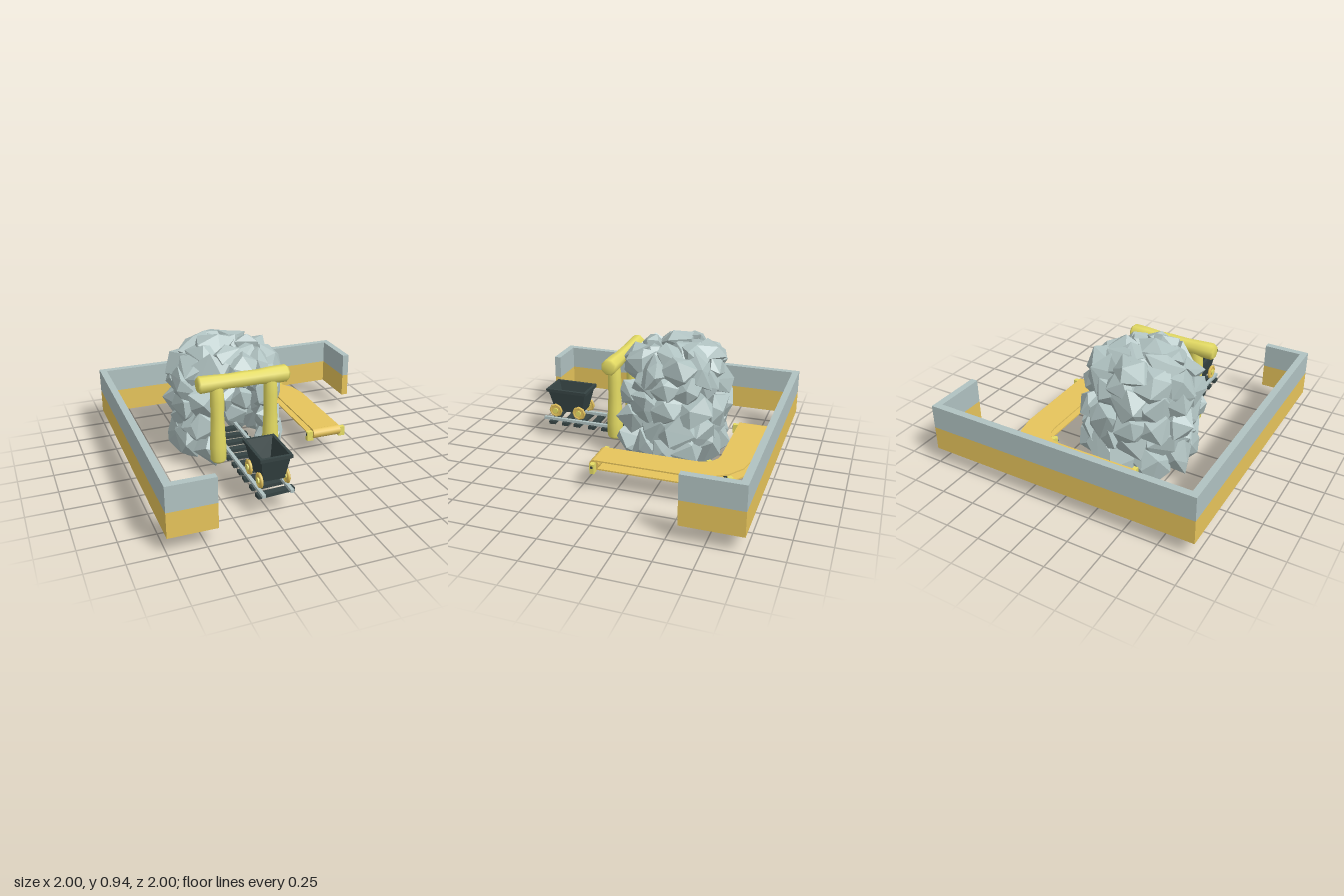
import * as THREE from 'three';
import { ConvexGeometry } from 'three/addons/geometries/ConvexGeometry.js';

const mat = (name, color) => Object.assign(new THREE.MeshStandardMaterial({ color }), { name });

export function createModel() {
  const root = new THREE.Group();
  const stone = mat('grey stone', 0xb0c2c1);
  const ochre = mat('ochre', 0xe6c45b);
  const wood = mat('yellow wood', 0xe5dc64);
  const dark = mat('dark iron', 0x354343);

  let seed = 23;
  const rnd = () => (seed = (seed * 16807) % 2147483647) / 2147483647;
  const jit = (a) => (rnd() * 2 - 1) * a;

  const add = (name, geo, material, x = 0, y = 0, z = 0, parent = root) => {
    const m = new THREE.Mesh(geo, material);
    m.name = name;
    m.position.set(x, y, z);
    parent.add(m);
    return m;
  };
  const box = (w, h, d) => new THREE.BoxGeometry(w, h, d);

  // Two-tone boundary walls, given as x0, x1, z0, z1
  const lower = [ochre, ochre, ochre, stone, ochre, ochre];
  for (const [name, x0, x1, z0, z1] of [
    ['sideWall', -1, -0.95, -0.95, 0.95],
    ['backWall', -1, 1, -1, -0.95],
    ['frontWallStub', -1, -0.675, 0.95, 1],
    ['sideWallStub', 0.95, 1, -0.95, -0.58],
  ]) {
    const x = (x0 + x1) / 2, z = (z0 + z1) / 2;
    add(name + 'Lower', box(x1 - x0, 0.175, z1 - z0), lower, x, 0.2075, z);
    add(name + 'Upper', box(x1 - x0, 0.175, z1 - z0), stone, x, 0.3825, z);
  }

  // Hollow mound of angular slabs with an open tunnel mouth at the front
  const mound = new THREE.Group();
  mound.name = 'rockMound';
  root.add(mound);
  const boulder = (x, y, z, r, { flat = 0.75, up = 0, spike = false } = {}) => {
    const pts = [];
    const start = rnd() * 6;
    for (let i = 0; i < 11; i++) {
      const h = 1 - (2 * (i + 0.5)) / 11;
      const a = start + i * 2.4 + jit(0.6);
      const w = Math.sqrt(1 - h * h), k = r * (1 + jit(0.17));
      pts.push(new THREE.Vector3(Math.cos(a) * w * k, h * k, Math.sin(a) * w * k * flat));
    }
    // pointed underside reaching the ground
    if (spike) pts.push(new THREE.Vector3(jit(0.05), rnd() * 0.03 - y, jit(0.03)));
    const m = add('boulder', new ConvexGeometry(pts), stone, x, y, z, mound);
    const out = new THREE.Vector3(x + 0.22, 0, z + 0.22).normalize();
    out.y = up + (spike ? 0 : jit(0.25));
    m.lookAt(out.add(m.position));
  };
  // rows: height, centre x, centre z, ring x, ring z, count, boulder radius, upward lean
  for (const [y, cx, cz, rx, rz, count, r, up] of [
    [0.16, -0.2, -0.23, 0.35, 0.295, 11, 0.145, 0],
    [0.3, -0.2, -0.23, 0.325, 0.29, 11, 0.135, 0],
    [0.45, -0.21, -0.23, 0.33, 0.3, 11, 0.14, 0],
    [0.6, -0.23, -0.21, 0.325, 0.28, 11, 0.14, 0],
    [0.72, -0.22, -0.2, 0.3, 0.27, 10, 0.135, 0.5],
    [0.8, -0.24, -0.2, 0.19, 0.2, 7, 0.13, 1.5],
  ]) {
    const start = rnd() * 6;
    for (let i = 0; i < count; i++) {
      const a = start + (i / count) * Math.PI * 2 + jit(0.08);
      const x = cx + Math.cos(a) * (rx + jit(0.02));
      const z = cz + Math.sin(a) * (rz + jit(0.02));
      if (z > -0.05 && Math.abs(x + 0.22) < 0.24 && y < 0.65) continue;
      boulder(x, y + jit(0.02), z, r * (1 + jit(0.12)), { up, spike: y < 0.2 });
    }
  }
  boulder(-0.33, 0.84, -0.2, 0.17, { flat: 0.5, up: 4 });
  boulder(-0.16, 0.82, -0.3, 0.15, { flat: 0.5, up: 4 });
  boulder(-0.26, 0.81, -0.42, 0.15, { flat: 0.55, up: 3 });
  for (const [x, y] of [[-0.43, 0.17], [0.02, 0.17], [-0.47, 0.35], [0.03, 0.35], [-0.46, 0.52], [0.02, 0.53]]) {
    boulder(x, y, 0.05, 0.12, { flat: 0.95, spike: y < 0.2 });
  }

  // Rough timber frame around the mouth
  const log = (len, radii, sides) => {
    const n = radii.length - 1;
    const pts = [new THREE.Vector2(0, -len / 2), new THREE.Vector2(radii[0] * 0.75, -len / 2)];
    radii.forEach((r, i) => pts.push(new THREE.Vector2(r, (i / n - 0.5) * (len - 0.036))));
    pts.push(new THREE.Vector2(radii[n] * 0.75, len / 2), new THREE.Vector2(0, len / 2));
    return new THREE.LatheGeometry(pts, sides);
  };
  for (const [x, tilt] of [[-0.415, 0], [-0.025, Math.PI / 12]]) {
    const p = add('timberPost', log(0.58, [0.057, 0.058, 0.052, 0.047, 0.05, 0.045], 12), wood, x, 0.43, 0.212);
    p.rotation.y = tilt;
  }
  const beamGeo = log(0.66, [0.061, 0.06, 0.052, 0.054, 0.051, 0.056, 0.06], 8).rotateY(Math.PI / 8);
  add('timberBeam', beamGeo.rotateZ(Math.PI / 2), wood, -0.225, 0.73, 0.212);

  // Track
  const railEnd = -0.27, railStart = 0.84;
  for (const x of [-0.318, -0.122]) {
    add('rail', box(0.024, 0.022, railStart - railEnd), stone, x, 0.17, (railStart + railEnd) / 2);
  }
  for (let i = 0; i < 10; i++) {
    const s = add('sleeper', box(0.265, 0.024, 0.052), dark, -0.22 + jit(0.006), 0.149, 0.77 - i * 0.111);
    s.rotation.y = jit(0.07);
  }

  // Mine cart: open tub from rectangular loops [half width, half depth, height]
  const tub = (rings) => {
    const pos = [];
    const corner = ([hx, hz, y], k) => [[hx, y, hz], [hx, y, -hz], [-hx, y, -hz], [-hx, y, hz]][k % 4];
    for (let i = 0; i < rings.length - 1; i++) {
      for (let k = 0; k < 4; k++) {
        const a = corner(rings[i], k), b = corner(rings[i], k + 1);
        const c = corner(rings[i + 1], k + 1), d = corner(rings[i + 1], k);
        pos.push(...a, ...b, ...c, ...a, ...c, ...d);
      }
    }
    const g = new THREE.BufferGeometry();
    g.setAttribute('position', new THREE.Float32BufferAttribute(pos, 3));
    g.computeVertexNormals();
    return g;
  };
  const cart = new THREE.Group();
  cart.name = 'mineCart';
  cart.position.set(-0.22, 0, 0.647);
  root.add(cart);
  add('cartTub', tub([
    [0, 0, 0.23], [0.075, 0.11, 0.23], [0.1, 0.15, 0.395], [0.112, 0.165, 0.395],
    [0.112, 0.165, 0.418], [0.093, 0.143, 0.418], [0.06, 0.098, 0.262], [0, 0, 0.262],
  ]), dark, 0, 0, 0, cart);
  const across = (r, len, sides) => new THREE.CylinderGeometry(r, r, len, sides).rotateZ(Math.PI / 2);
  for (const z of [-0.097, 0.097]) {
    add('axle', across(0.012, 0.2, 8), dark, 0, 0.24, z, cart);
    for (const side of [-1, 1]) {
      add('wheelDisc', across(0.048, 0.012, 8), ochre, side * 0.094, 0.24, z, cart);
      add('wheelRim', new THREE.TorusGeometry(0.045, 0.011, 6, 8).rotateY(Math.PI / 2), ochre, side * 0.094, 0.24, z, cart);
      add('wheelHub', across(0.022, 0.03, 8), wood, side * 0.096, 0.24, z, cart);
    }
  }

  // Conveyor: two curved belt layers wrapped around end rollers
  const path = new THREE.Shape();
  path.moveTo(-0.385, 0.87);
  path.lineTo(0.2, 0.87);
  path.absarc(0.2, 0.52, 0.35, Math.PI / 2, 0, true);
  path.lineTo(0.55, -0.145);
  path.lineTo(0.335, -0.145);
  path.lineTo(0.335, 0.52);
  path.absarc(0.2, 0.52, 0.135, 0, Math.PI / 2, false);
  path.lineTo(-0.385, 0.655);
  path.closePath();
  for (const [name, y] of [['beltTop', 0.216], ['beltBottom', 0.155]]) {
    const g = new THREE.ExtrudeGeometry(path, { depth: 0.01, bevelEnabled: false, curveSegments: 2 });
    add(name, g.rotateX(-Math.PI / 2), ochre, 0, y, 0);
  }

  // Conveyor supports at both ends and on the bend
  for (const [x, z, turn, roller] of [
    [0.4425, 0.15, 0, true],
    [-0.385, -0.7625, Math.PI / 2, true],
    [0.37, -0.69, Math.PI / 4, false],
  ]) {
    const g = new THREE.Group();
    g.name = 'conveyorSupport';
    g.position.set(x, 0, z);
    g.rotation.y = turn;
    root.add(g);
    if (roller) add('roller', across(0.036, 0.215, 12), ochre, 0, 0.191, 0, g);
    add('rollerAxle', across(0.01, 0.31, 8), dark, 0, 0.19, 0, g);
    for (const side of [-1, 1]) {
      add('supportLeg', box(0.042, 0.07, 0.032), wood, side * 0.131, 0.177, 0, g);
      add('supportFoot', box(0.045, 0.02, 0.034), wood, side * 0.125, 0.152, 0, g);
    }
  }
  return root;
}
